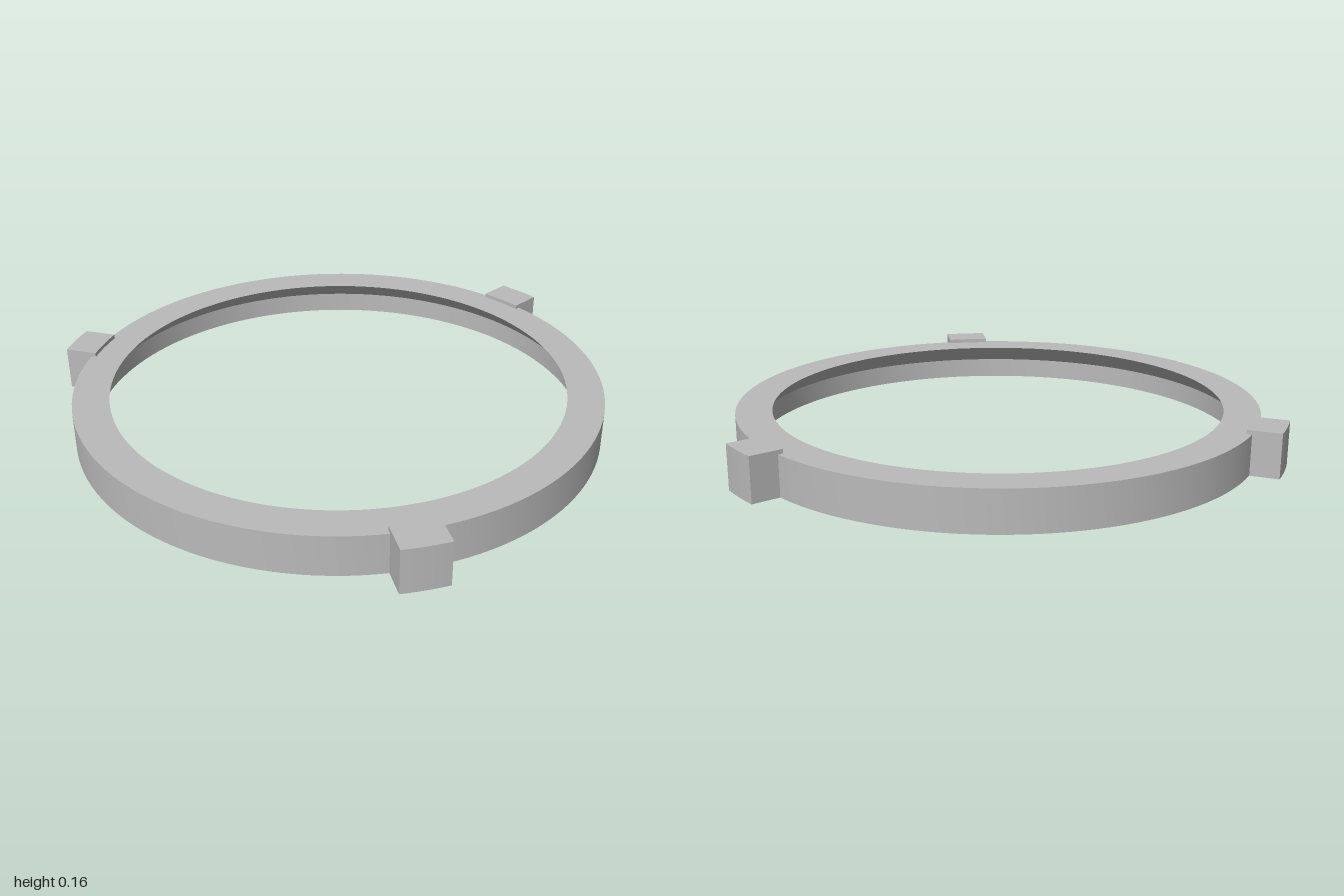
import * as THREE from 'three';
import { toCreasedNormals } from 'three/addons/utils/BufferGeometryUtils.js';

export function createModel() {
  const model = new THREE.Group();
  model.name = 'lockingRing';
  const grey = new THREE.MeshStandardMaterial({ color: 0xbababa });
  grey.name = 'grey';

  // The ring is centred slightly forward, as one lug sticks out at the back
  const assembly = new THREE.Group();
  assembly.name = 'ringWithLugs';
  assembly.position.z = 0.05;
  model.add(assembly);

  // Ring body: straight lower bore, upper bore tapering in to the top edge
  const profile = [
    [0.89, 0], [0.95, 0], [0.95, 0.145], [0.82, 0.145], [0.89, 0.077], [0.89, 0],
  ].map(([r, y]) => new THREE.Vector2(r, y));
  const ring = new THREE.Mesh(toCreasedNormals(new THREE.LatheGeometry(profile, 128), 0.5), grey);
  ring.name = 'ring';
  assembly.add(ring);

  // Three lugs: parallel sides with arcs inside and outside
  const inner = 0.932, outer = 1.05, halfWidth = 0.081, top = 0.16;
  const a = Math.asin(halfWidth / outer), b = Math.asin(halfWidth / inner);
  const outline = new THREE.Shape();
  outline.absarc(0, 0, outer, Math.PI / 2 - a, Math.PI / 2 + a, false);
  outline.absarc(0, 0, inner, Math.PI / 2 + b, Math.PI / 2 - b, true);
  outline.closePath();
  const extruded = new THREE.ExtrudeGeometry(outline, { depth: top, bevelEnabled: false, curveSegments: 8 });
  extruded.rotateX(-Math.PI / 2);
  const lugGeometry = toCreasedNormals(extruded, 0.5);
  ['backLug', 'rightLug', 'leftLug'].forEach((name, i) => {
    const lug = new THREE.Mesh(lugGeometry, grey);
    lug.name = name;
    lug.rotation.y = (i * Math.PI * 2) / 3;
    assembly.add(lug);
  });

  return model;
}
